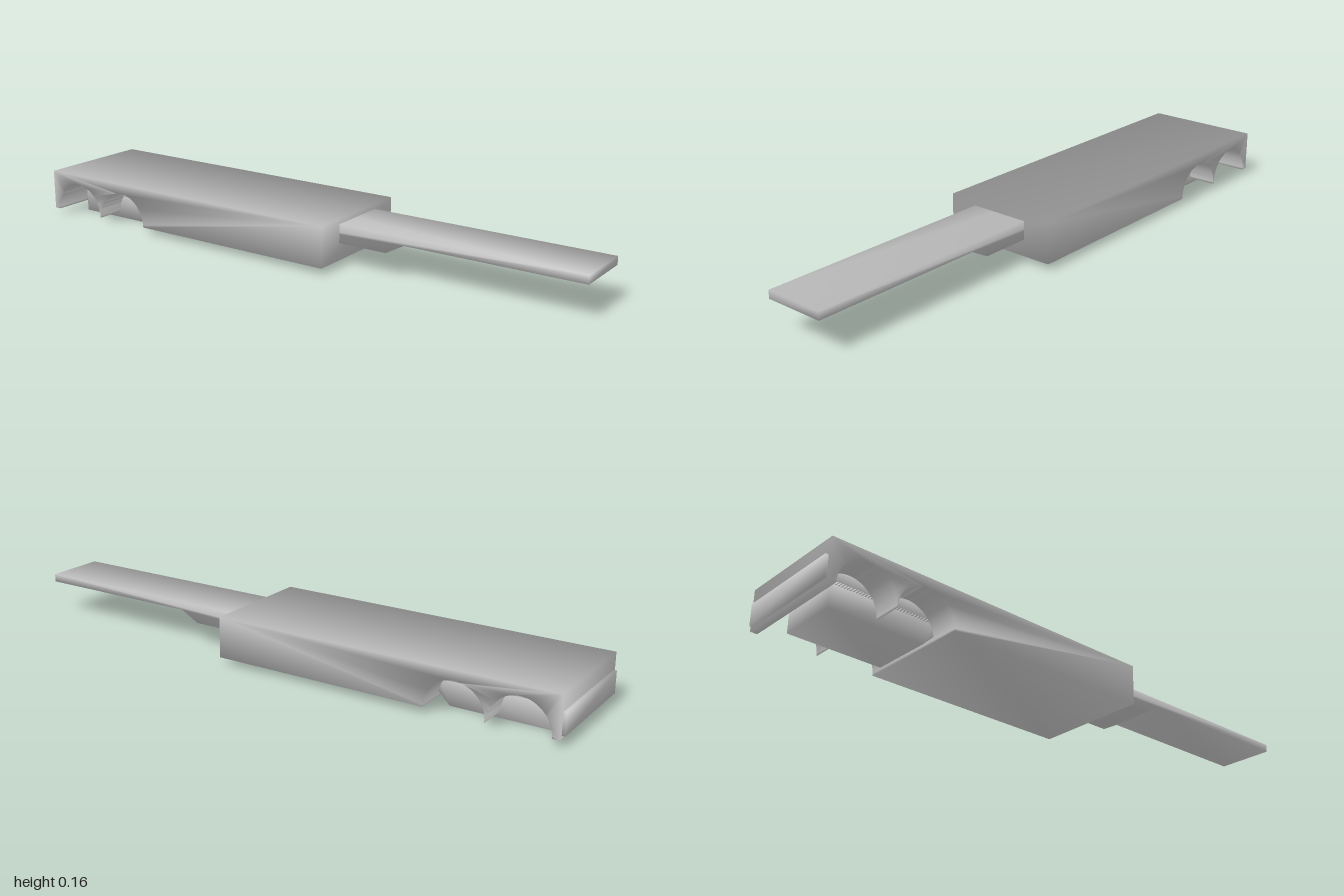
import * as THREE from 'three';
import { mergeVertices } from 'three/addons/utils/BufferGeometryUtils.js';

const material = new THREE.MeshStandardMaterial({ color: 0xcccccc });

// Weld the corners and give each the plain mean of its face normals, for soft shading
function smooth(source) {
  source.deleteAttribute('uv');
  source.deleteAttribute('normal');
  const geo = mergeVertices(source, 1e-4);
  const pos = geo.attributes.position;
  const sums = Array.from({ length: pos.count }, () => new THREE.Vector3());
  const corners = [new THREE.Vector3(), new THREE.Vector3(), new THREE.Vector3()];
  const normal = new THREE.Vector3();
  for (let i = 0; i < geo.index.count; i += 3) {
    const ids = [0, 1, 2].map((k) => geo.index.getX(i + k));
    ids.forEach((id, k) => corners[k].fromBufferAttribute(pos, id));
    THREE.Triangle.getNormal(...corners, normal);
    ids.forEach((id) => sums[id].add(normal));
  }
  const normals = sums.flatMap((sum) => sum.normalize().toArray());
  geo.setAttribute('normal', new THREE.Float32BufferAttribute(normals, 3));
  return geo;
}

function part(name, geo) {
  const mesh = new THREE.Mesh(smooth(geo), material);
  mesh.name = name;
  return mesh;
}

// Extrude a side profile drawn as (-z, y) across the width, centred on x = 0
function sideExtrude(name, shape, width) {
  const geo = new THREE.ExtrudeGeometry(shape, { depth: width, bevelEnabled: false, curveSegments: 20 });
  geo.translate(0, 0, -width / 2);
  geo.rotateY(Math.PI / 2);
  return part(name, geo);
}

const polygon = (points) => new THREE.Shape(points.map(([z, y]) => new THREE.Vector2(-z, y)));

export function createModel() {
  const model = new THREE.Group();
  model.name = 'slidingTool';

  // Main housing with two finger arches cut through underneath
  const housing = new THREE.Shape();
  housing.moveTo(-0.175, 0.157);
  housing.lineTo(-0.175, 0.021);
  housing.lineTo(0.565, 0.021);
  for (const centre of [0.665, 0.867]) {
    housing.absellipse(centre, 0.021, 0.1, 0.103, Math.PI, 0, true);
  }
  housing.lineTo(0.99, 0.021);
  housing.lineTo(0.99, 0.157);
  housing.closePath();
  model.add(sideExtrude('housing', housing, 0.402));

  // Narrow block behind the arches, chamfered at its front
  model.add(sideExtrude('gripBlock', polygon([
    [-0.56, 0.09], [-0.56, 0.045], [-0.605, 0], [-0.927, 0], [-0.927, 0.09],
  ]), 0.206));

  // Flat blade with a ramped root, running on through the housing above the block
  model.add(sideExtrude('blade', polygon([
    [1, 0.14], [1, 0.113], [0.41, 0.113], [0.385, 0.1], [0.345, 0.078], [-0.927, 0.078], [-0.927, 0.14],
  ]), 0.206));

  // Thin plate on the rear face
  const plate = part('rearPlate', new THREE.BoxGeometry(0.38, 0.072, 0.02));
  plate.position.set(0, 0.067, -0.99);
  model.add(plate);

  return model;
}
